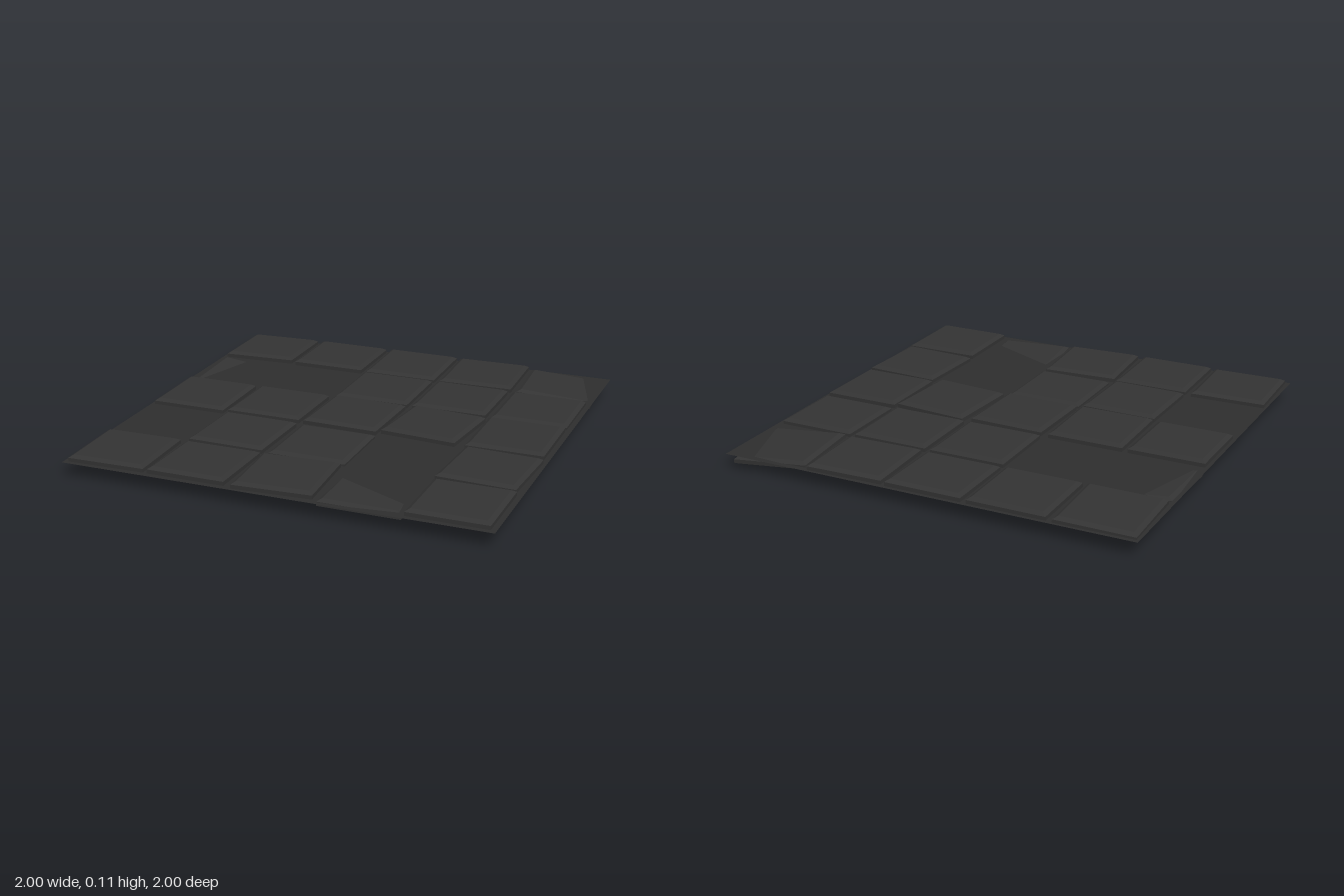
import * as THREE from 'three';

const SIZE = 0.37, THICK = 0.031, INSET = 0.02, PITCH = 0.397;

// Flat-shaded slab: straight sides below, chamfered rim on top
function tileGeometry() {
  const box = new THREE.BoxGeometry(SIZE, THICK, SIZE, 1, 2, 1);
  const p = box.attributes.position;
  const k = 1 - (2 * INSET) / SIZE;
  for (let i = 0; i < p.count; i++) {
    const y = p.getY(i);
    if (y > THICK * 0.4) p.setXYZ(i, p.getX(i) * k, y, p.getZ(i) * k);
    else if (Math.abs(y) < 1e-6) p.setY(i, THICK * 0.1);
  }
  const geo = box.toNonIndexed();
  geo.computeVertexNormals();
  return geo;
}

// Rows from back to front; null is a gap. Each tile: [yaw, tiltX, tiltZ, centre height]
const ROWS = [
  [[0.02, -0.02, 0.015, 0.083], [0, -0.005, 0, 0.085], [0, 0.01, 0, 0.084], [0.03, 0, 0, 0.085], [0.07, -0.026, -0.08, 0.065]],
  [[0, 0.034, -0.115, 0.043], null, [0, 0, 0, 0.084], [0, 0, 0, 0.085], [0, 0.008, 0, 0.08]],
  [[0, 0.008, 0, 0.085], [0, -0.012, 0, 0.088], [-0.03, 0, 0, 0.09], [-0.09, -0.012, 0, 0.091], [0, 0.008, 0, 0.086]],
  [null, [-0.02, 0, 0, 0.085], [0, 0.003, 0, 0.076], null, [-0.05, 0, 0, 0.084]],
  [[0.025, 0, 0, 0.084], [0, -0.012, 0, 0.085], [0.06, 0, 0, 0.085], [0.06, -0.059, -0.028, 0.055], [0, 0, 0, 0.085]],
];

export function createModel() {
  const model = new THREE.Group();
  model.name = 'tiledFloor';
  const stone = new THREE.MeshStandardMaterial({ color: 0x333333 });
  const groundMat = new THREE.MeshStandardMaterial({ color: 0x2e2e2e, side: THREE.DoubleSide });

  // Thin sheet under the tiles
  const base = new THREE.Mesh(new THREE.PlaneGeometry(2, 2).rotateX(-Math.PI / 2), groundMat);
  base.name = 'baseSheet';
  base.position.y = 0.07;
  model.add(base);

  // Loose, uneven paving tiles
  const geo = tileGeometry();
  ROWS.forEach((row, r) => row.forEach((tile, c) => {
    if (!tile) return;
    const [yaw, tiltX, tiltZ, y] = tile;
    const mesh = new THREE.Mesh(geo, stone);
    mesh.name = `pavingTile_${r}_${c}`;
    mesh.position.set((c - 2) * PITCH - 0.004, y, (r - 2) * PITCH - 0.004);
    mesh.rotation.set(tiltX, yaw, tiltZ, 'XZY');
    model.add(mesh);
  }));
  return model;
}
